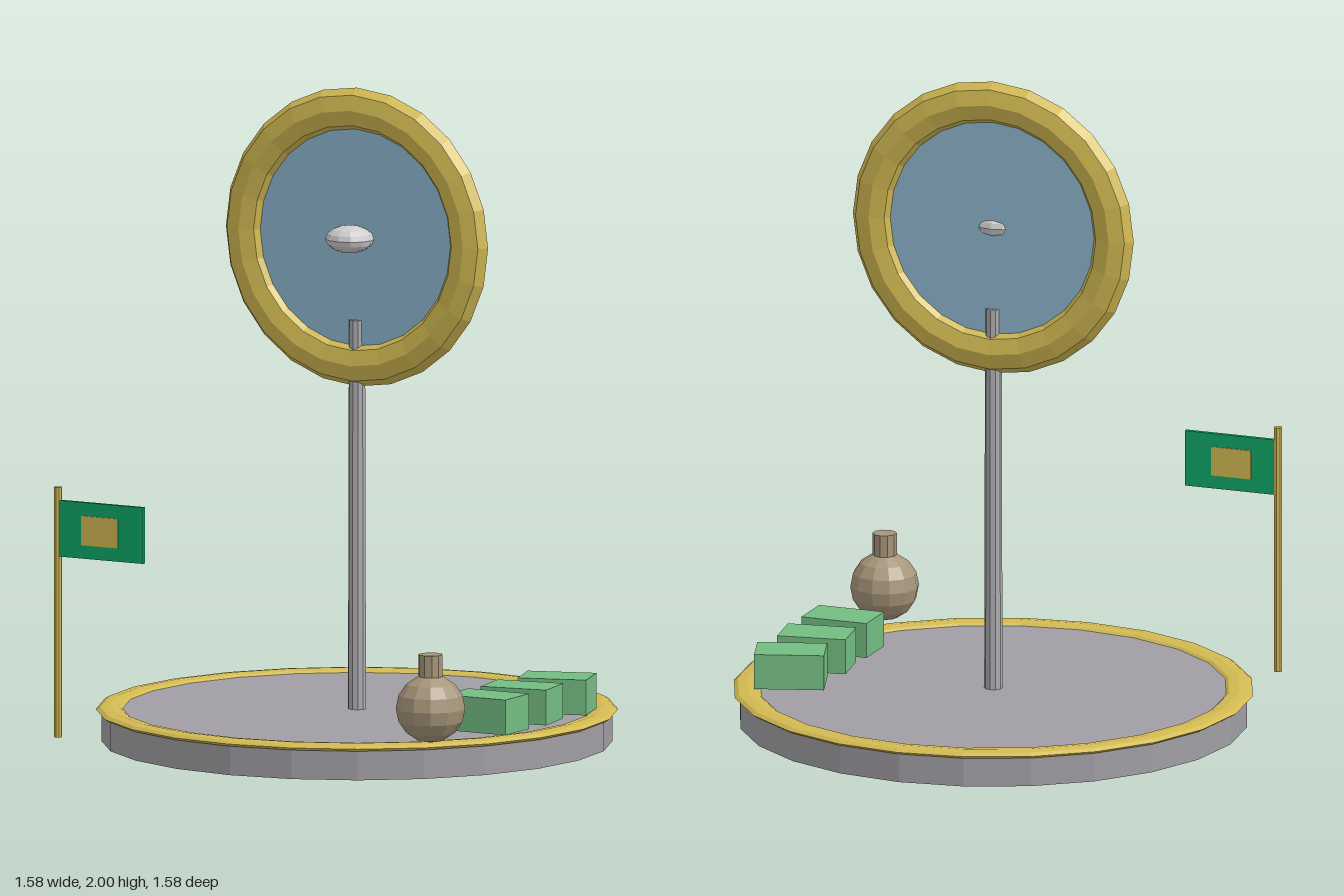
import * as THREE from 'three';

const material = (name, color) => {
  const m = new THREE.MeshStandardMaterial({ color, flatShading: true });
  m.name = name;
  return m;
};

export function createModel() {
  const gold = material('gold', 0xd2ba52);
  const stone = material('stone grey', 0xa09ea4);
  const steel = material('steel', 0xadadb1);
  const glass = material('pale blue', 0x8eb6cf);
  const pearl = material('pearl', 0xcfcccc);
  const green = material('flag green', 0x10a868);
  const mint = material('mint', 0x74bc82);
  const clay = material('clay brown', 0xa6957a);

  const model = new THREE.Group();
  model.name = 'model';
  const add = (name, geometry, mat, x, y, z) => {
    const mesh = new THREE.Mesh(geometry, mat);
    mesh.name = name;
    mesh.position.set(x, y, z);
    model.add(mesh);
    return mesh;
  };

  // Round base with a flattened rim
  add('base', new THREE.CylinderGeometry(0.772, 0.772, 0.1, 24), stone, 0, 0.05, 0);
  const rim = new THREE.TorusGeometry(0.748, 0.042, 8, 24).scale(1, 1, 0.29).rotateX(-Math.PI / 2);
  add('baseRim', rim, gold, 0, 0.098, 0);

  // Post carrying the framed disc
  add('post', new THREE.CylinderGeometry(0.025, 0.028, 1.27, 10), steel, 0, 0.655, 0);
  const frame = new THREE.TorusGeometry(0.391, 0.066, 8, 24).scale(1, 1, 0.6);
  add('discFrame', frame, gold, 0, 1.543, 0);
  const pane = new THREE.CylinderGeometry(0.34, 0.34, 0.02, 24).rotateX(Math.PI / 2);
  add('disc', pane, glass, 0, 1.543, 0);
  const boss = new THREE.SphereGeometry(1, 12, 8).scale(0.075, 0.042, 0.07);
  add('discBoss', boss, pearl, 0, 1.543, 0.045);

  // Flag with an emblem on both faces
  add('flagPole', new THREE.CylinderGeometry(0.013, 0.013, 0.765, 8), gold, -0.664, 0.433, 0.66);
  add('flag', new THREE.BoxGeometry(0.295, 0.172, 0.014), green, -0.511, 0.69, 0.66);
  for (const side of [-1, 1]) {
    add('flagEmblem', new THREE.BoxGeometry(0.128, 0.09, 0.004), gold, -0.514, 0.69, 0.66 + side * 0.008);
  }

  // Three blocks along the edge, turned progressively
  for (let i = 0; i < 3; i++) {
    const block = add('block', new THREE.BoxGeometry(0.212, 0.108, 0.145), mint, 0.575, 0.163, 0.213 * (1 - i));
    block.rotation.y = 0.155 * i;
  }

  // Round flask with a short neck
  add('flaskBody', new THREE.SphereGeometry(0.105, 12, 8), clay, 0.575, 0.22, 0.555);
  add('flaskNeck', new THREE.CylinderGeometry(0.037, 0.037, 0.08, 10), clay, 0.575, 0.345, 0.555);

  return model;
}
